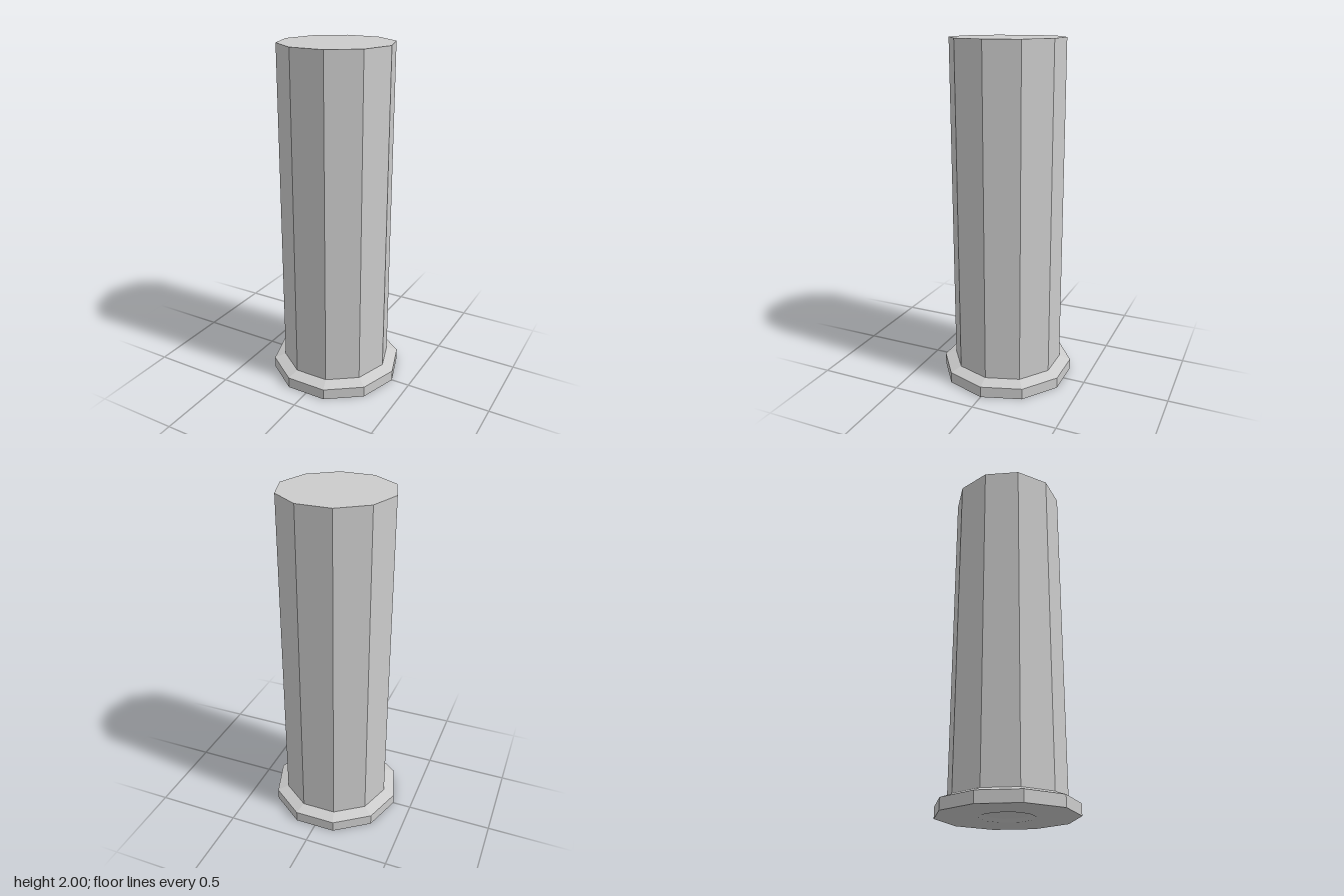
import * as THREE from 'three';

const SIDES = 10;

// Ten-sided turned part from [radius, height] pairs, with a corner on +x
function turned(name, profile, material) {
  const points = profile.map(([r, y]) => new THREE.Vector2(r, y));
  const mesh = new THREE.Mesh(new THREE.LatheGeometry(points, SIDES, Math.PI / 2), material);
  mesh.name = name;
  return mesh;
}

export function createModel() {
  const group = new THREE.Group();
  group.name = 'casing';
  const grey = new THREE.MeshStandardMaterial({ color: 0xcccccc, flatShading: true });

  // Straight body with a closed top
  group.add(turned('body', [[0.323, 0.09], [0.323, 2], [0, 2]], grey));

  // Base flange with a bevelled shoulder
  group.add(turned('baseRim', [[0.154, 0], [0.39, 0], [0.39, 0.065], [0.323, 0.09]], grey));

  // Shallow bevelled recess in the underside
  group.add(turned('baseRecess', [[0, 0.015], [0.122, 0.015], [0.154, 0]], grey));

  return group;
}
